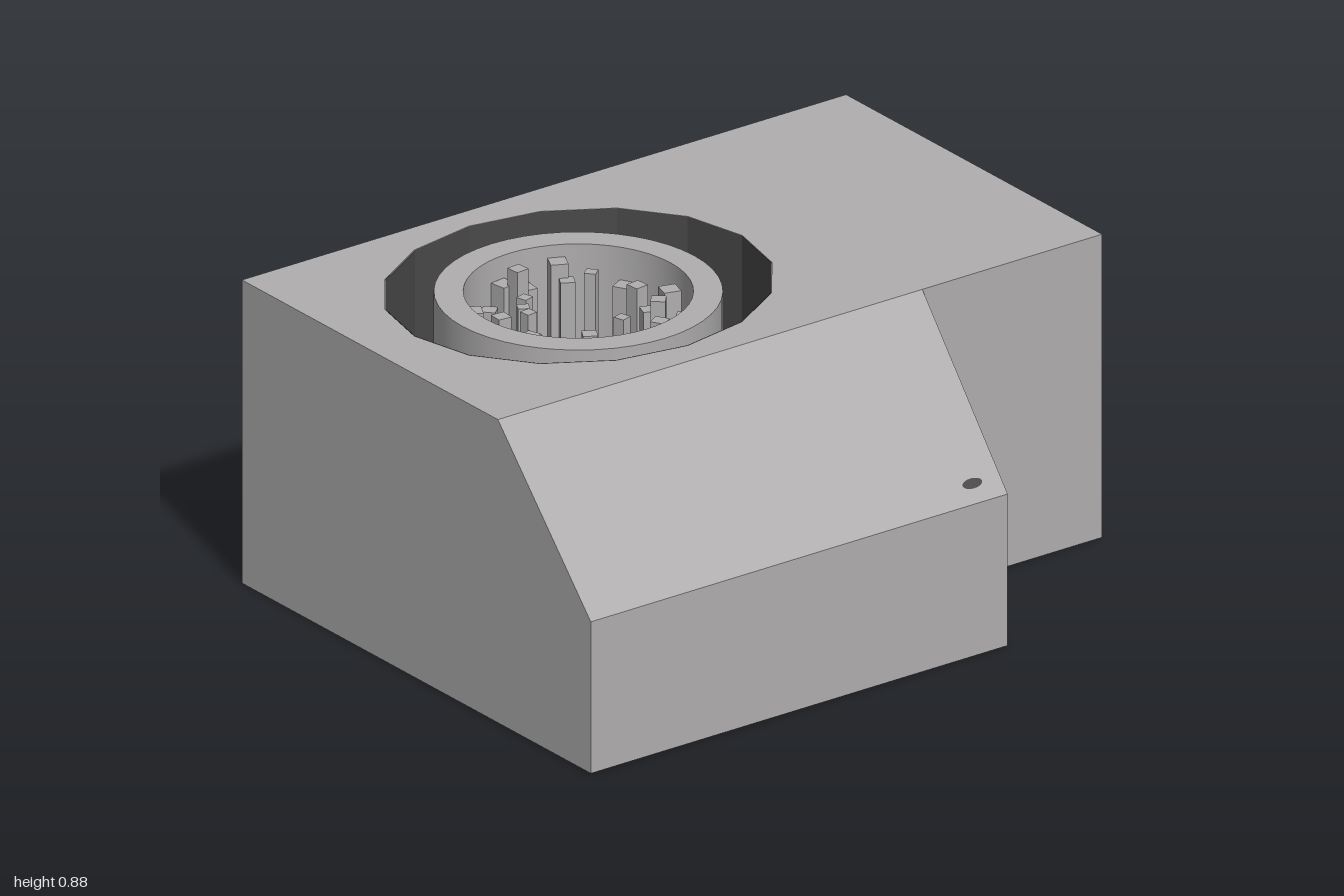
import * as THREE from 'three';
import { toCreasedNormals } from 'three/addons/utils/BufferGeometryUtils.js';

const TOP = 0.88, FLOOR = 0.3, BACK = -0.77, FRONT = 0.36;
const CX = -0.31, CZ = -0.205; // centre of the round well
const RX = 0.543, RZ = 0.483, SIDES = 16;

export function createModel() {
  const model = new THREE.Group();
  model.name = 'machineBlock';
  const grey = new THREE.MeshStandardMaterial({ color: 0xb0aeae });
  grey.name = 'casingGrey';
  const dark = new THREE.MeshStandardMaterial({ color: 0x494949, side: THREE.DoubleSide });
  dark.name = 'wellDark';

  const add = (name, geometry, material, parent = model) => {
    const mesh = new THREE.Mesh(geometry, material);
    mesh.name = name;
    parent.add(mesh);
    return mesh;
  };

  // Lower body, closing the block below the well
  add('lowerBody', new THREE.BoxGeometry(2, FLOOR, FRONT - BACK)
    .translate(0, FLOOR / 2, (FRONT + BACK) / 2), grey);

  // Upper body with a sixteen-sided oval opening (shape y becomes -z)
  const plan = new THREE.Shape();
  plan.moveTo(-1, -FRONT).lineTo(1, -FRONT).lineTo(1, -BACK).lineTo(-1, -BACK).closePath();
  const opening = [];
  for (let i = 0; i < SIDES; i++) {
    const a = -i / SIDES * Math.PI * 2;
    opening.push(new THREE.Vector2(CX + RX * Math.cos(a), -CZ + RZ * Math.sin(a)));
  }
  plan.holes.push(new THREE.Path(opening));
  const upper = new THREE.ExtrudeGeometry(plan, { depth: TOP - FLOOR, bevelEnabled: false });
  add('upperBody', upper.rotateX(-Math.PI / 2).translate(0, FLOOR, 0), grey);

  // Sloped front housing: side profile swept across, outer end slightly tapered
  const profile = new THREE.Shape();
  profile.moveTo(FRONT, 0).lineTo(0.77, 0).lineTo(0.77, 0.44).lineTo(FRONT, TOP).closePath();
  const housing = new THREE.ExtrudeGeometry(profile, { depth: 1.405, bevelEnabled: false });
  housing.rotateY(-Math.PI / 2).translate(0.405, 0, 0); // profile x -> z
  const p = housing.attributes.position;
  for (let i = 0; i < p.count; i++) {
    if (p.getX(i) > 0 && p.getZ(i) > 0.5) p.setX(i, 0.38);
  }
  housing.computeVertexNormals();
  add('slopedHousing', housing, grey);

  // Small dark oval spot on the slope
  const spot = add('slopeSpot', new THREE.CircleGeometry(0.032, 16).scale(1, 0.45, 1), dark);
  spot.position.set(0.29, 0.482, 0.734);
  spot.rotation.x = -Math.atan2(0.41, 0.44);

  // Dark well: wall liner and floor
  const well = new THREE.Group();
  well.name = 'well';
  well.position.set(CX, 0, CZ);
  model.add(well);
  const liner = new THREE.CylinderGeometry(1, 1, TOP - FLOOR, SIDES, 1, true)
    .rotateY(Math.PI / 2).scale(RX - 0.002, 1, RZ - 0.002).translate(0, (TOP + FLOOR) / 2, 0);
  add('wellWall', toCreasedNormals(liner, 0.1), dark, well);
  add('wellFloor', new THREE.CircleGeometry(1, SIDES).rotateX(-Math.PI / 2)
    .scale(RX, 1, RZ).translate(0, FLOOR + 0.004, 0), dark, well);

  // Hollow drum standing in the well, with a grey floor
  const drumProfile = [[0.383, FLOOR], [0.383, 0.865], [0.305, 0.865], [0.305, 0.34], [0, 0.34]]
    .map(([r, y]) => new THREE.Vector2(r, y));
  add('drum', toCreasedNormals(new THREE.LatheGeometry(drumProfile, 48), 0.6), grey, well);

  // Upright prongs inside the drum, turned to face its centre
  const prongSets = [
    { size: 0.048, top: 0.83, at: [[-0.25, -0.13], [-0.25, 0.13], [-0.12, 0.27], [0.03, 0.275],
      [0.22, 0.18], [0.25, -0.13], [0.25, 0.07], [-0.04, -0.275], [0.03, -0.275], [0.12, -0.25]] },
    { size: 0.04, top: 0.85, at: [[-0.24, -0.02], [-0.21, 0.07], [-0.16, -0.18], [-0.12, 0.21],
      [0.21, -0.02], [0.18, 0.07], [0.16, 0.14], [0.12, 0.2], [0.12, -0.21], [-0.02, -0.24]] },
    { size: 0.032, top: 0.86, at: [[-0.18, 0.02], [-0.13, -0.07], [-0.05, -0.17],
      [0.11, -0.09], [0.04, 0.14], [-0.11, 0.14]] },
  ];
  for (const { size, top, at } of prongSets) {
    at.forEach(([x, z], i) => {
      const height = top - 0.34 - (i % 3) * 0.03;
      const prong = add('prong', new THREE.BoxGeometry(size, height, size), grey, well);
      prong.position.set(x, 0.34 + height / 2, z);
      prong.rotation.y = Math.atan2(x, z);
    });
  }
  return model;
}
